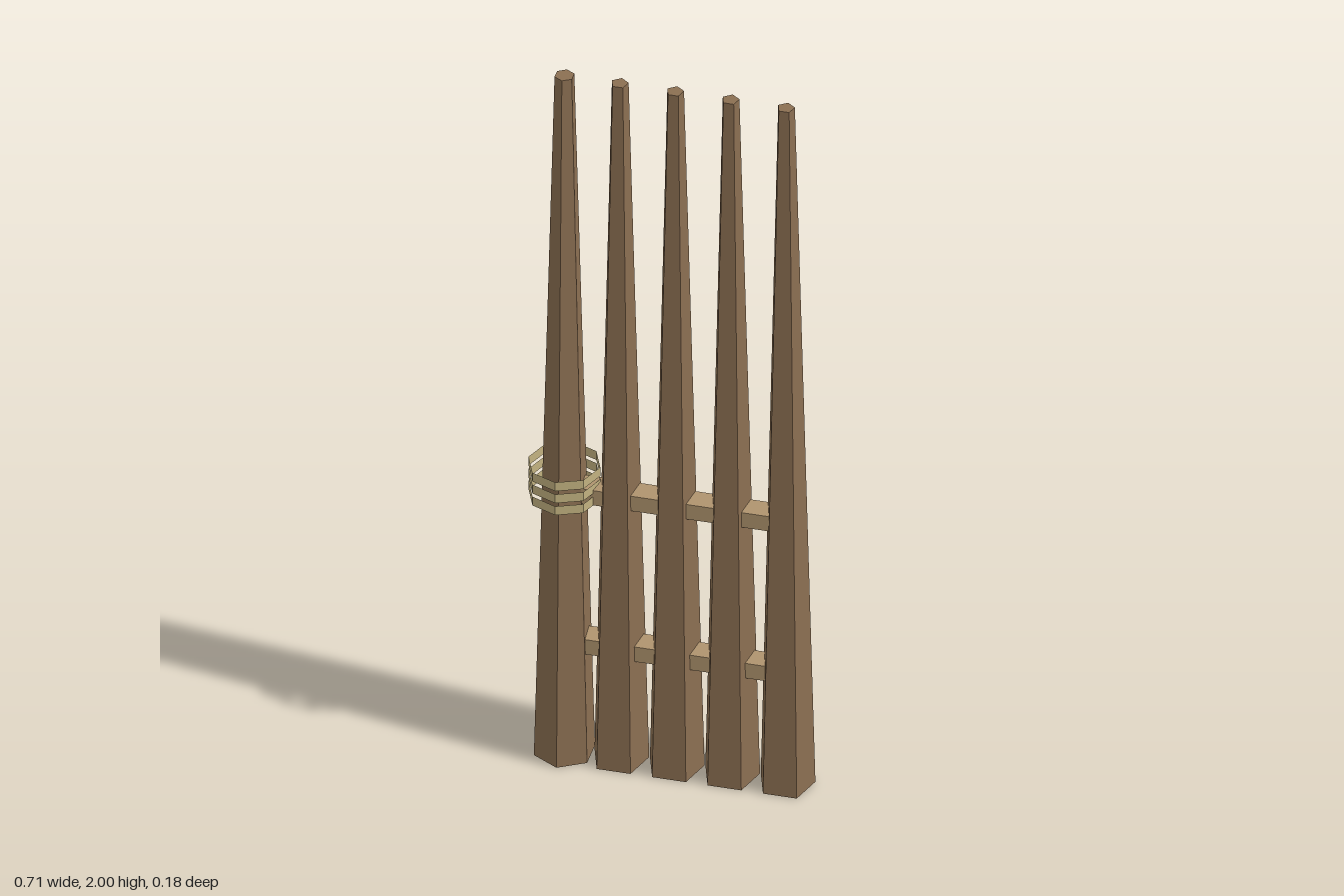
import * as THREE from 'three';

export function createModel() {
  const group = new THREE.Group();
  group.name = 'stakeFence';

  const mat = (name, color, extra = {}) =>
    Object.assign(new THREE.MeshStandardMaterial({ color, flatShading: true, ...extra }), { name });
  const postWood = mat('postWood', 0x8b6f52);
  const railWood = mat('railWood', 0xb0946e);
  const rope = mat('rope', 0xc2b280, { side: THREE.DoubleSide });

  const add = (name, geometry, material, x, y, z = 0) => {
    const mesh = new THREE.Mesh(geometry, material);
    mesh.name = name;
    mesh.position.set(x, y, z);
    group.add(mesh);
  };

  // Six-sided end post
  const endX = -0.267;
  add('endPost', new THREE.CylinderGeometry(0.025, 0.077, 2, 6), postWood, endX, 1);

  // Five-sided tapered stakes, flat side to the front
  const stake = new THREE.CylinderGeometry(0.022, 0.072, 2, 5).rotateY(Math.PI);
  [-0.129, 0.01, 0.149, 0.288].forEach((x, i) => add(`stake${i + 1}`, stake, postWood, x, 1, -0.001));

  // Two five-sided rails running through the stakes
  const rail = new THREE.CylinderGeometry(0.037, 0.037, 0.555, 5)
    .rotateY(Math.PI).rotateZ(Math.PI / 2);
  add('lowerRail', rail, railWood, 0.0105, 0.335, -0.002);
  add('upperRail', rail, railWood, 0.0105, 0.78, -0.002);

  // Loose rope bands around the end post
  const band = new THREE.CylinderGeometry(0.09, 0.09, 0.026, 8, 1, true);
  for (let i = 0; i < 3; i++) add(`ropeBand${i + 1}`, band, rope, endX, 0.77 + i * 0.0355);

  return group;
}
